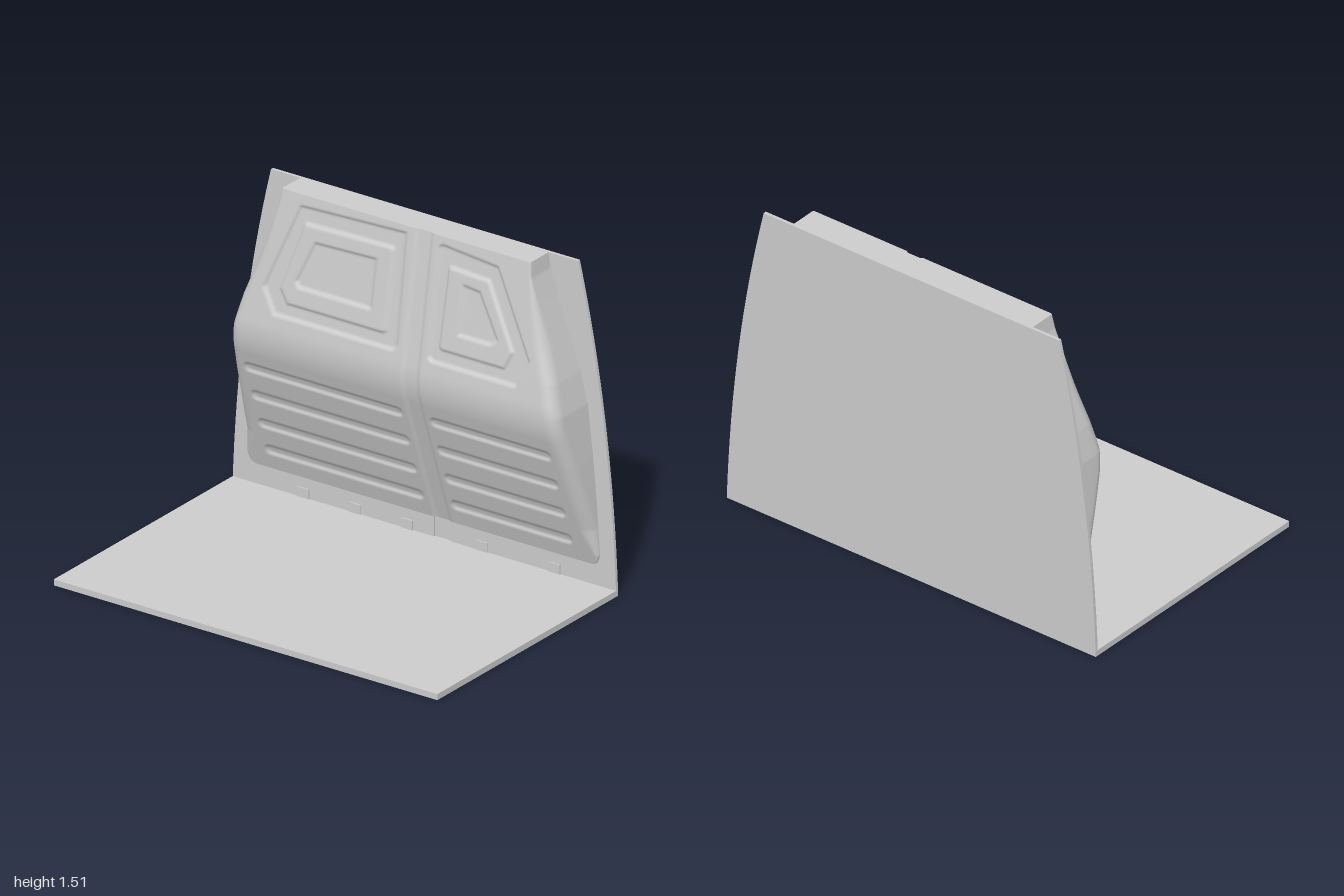
import * as THREE from 'three';

const BACK = -0.655, FACE = -0.64, FLOOR = 0.028, FOOT = 0.12, TOP = 1.51;
const CHANNEL = [0.05, 0.14], CHANNEL_DEPTH = 0.008, PRESS = 0.01;
const material = new THREE.MeshStandardMaterial({ color: 0xcccccc });
const { lerp, smoothstep, clamp } = THREE.MathUtils;

function mesh(name, geometry, x = 0, y = 0, z = 0) {
  const m = new THREE.Mesh(geometry, material);
  m.name = name;
  m.position.set(x, y, z);
  return m;
}

// Half width of the bulge by height
const sideProfile = [[0.12, 0.88], [0.135, 0.905], [0.17, 0.917], [0.4, 0.9], [0.62, 0.88], [0.86, 0.852],
  [1.0, 0.815], [1.14, 0.765], [1.33, 0.695], [1.44, 0.658], [1.51, 0.648]];
function halfWidth(y) {
  let i = 1;
  while (i < sideProfile.length - 1 && y > sideProfile[i][0]) i++;
  const [y0, w0] = sideProfile[i - 1], [y1, w1] = sideProfile[i];
  return lerp(w0, w1, clamp((y - y0) / (y1 - y0), 0, 1));
}

// Front of the bulge by height: two slopes blended by a rounded crest
function frontZ(y) {
  const low = FACE + 0.346 * (y - FOOT), high = -0.508 + 0.166 * (TOP - y), k = 0.045;
  const h = Math.max(k - Math.abs(low - high), 0) / k;
  return Math.min(low, high) - h * h * k * 0.25;
}

// Nested pressed panels, corners clockwise; each step reverses direction
const panels = [
  [-1, [[-0.55, 1.465], [0.01, 1.485], [0.02, 0.98], [0.0, 0.955], [-0.63, 0.955], [-0.7, 1.07]]],
  [1, [[-0.52, 1.395], [-0.06, 1.405], [-0.045, 1.39], [-0.045, 1.03], [-0.06, 1.015], [-0.57, 1.015], [-0.615, 1.08]]],
  [-1, [[-0.46, 1.325], [-0.13, 1.335], [-0.13, 1.1], [-0.52, 1.1], [-0.54, 1.13]]],
  [-1, [[0.17, 1.465], [0.19, 1.48], [0.49, 1.455], [0.7, 1.08], [0.64, 0.955], [0.19, 0.955], [0.17, 0.975]]],
  [1, [[0.23, 1.395], [0.45, 1.385], [0.61, 1.1], [0.57, 1.015], [0.235, 1.015], [0.22, 1.03]]],
  [-1, [[0.31, 1.335], [0.41, 1.325], [0.53, 1.13], [0.49, 1.1], [0.31, 1.1]]],
];
function polygonDistance(corners, x, y) {
  let d = -Infinity;
  corners.forEach(([ax, ay], i) => {
    const [bx, by] = corners[(i + 1) % corners.length];
    const ex = bx - ax, ey = by - ay;
    d = Math.max(d, ((y - ay) * ex - (x - ax) * ey) / Math.hypot(ex, ey));
  });
  return d;
}

// Long rounded grooves on the lower slope
const grooves = [];
for (const y of [0.663, 0.513, 0.363, 0.223]) {
  grooves.push([-0.78, -0.005, y], [0.19, 0.77, y]);
}

// Pressed relief at a point of the bulge
function relief(x, y) {
  const inside = (d) => 1 - smoothstep(d, -0.016, 0);
  let z = 0;
  if (y > 0.9) {
    for (const [sign, corners] of panels) z += sign * PRESS * inside(polygonDistance(corners, x, y));
  } else {
    for (const [x0, x1, gy] of grooves) {
      z -= PRESS * inside(Math.hypot(x - clamp(x, x0, x1), y - gy) - 0.028);
    }
  }
  const edge = Math.min(x - CHANNEL[0], CHANNEL[1] - x);
  return z - CHANNEL_DEPTH * clamp(edge / 0.01, 0, 1);
}

// One horizontal section, from the left wall round to the right wall
function section(y) {
  const w = halfWidth(y), zf = Math.max(frontZ(y), FACE);
  const r = Math.min(lerp(0.06, 0.008, smoothstep(y, 1.1, 1.5)), zf - FACE);
  const flat = w - r, corner = [];
  for (let i = 0; i < 5; i++) corner.push([w, lerp(FACE, zf - r, i / 5)]);
  for (let i = 0; i < 8; i++) {
    const a = (i / 8) * Math.PI / 2;
    corner.push([flat + r * Math.cos(a), zf - r + r * Math.sin(a)]);
  }
  const points = corner.map(([x, z]) => [-x, y, z]);
  for (let i = -100; i <= 100; i++) {
    // Columns near the channel stay upright, the rest follow the sides
    const u = Math.abs(i) / 100;
    const x = Math.sign(i) * (u <= 0.15 ? u : lerp(0.15, flat, (u - 0.15) / 0.85));
    points.push([x, y, zf + relief(x, y)]);
  }
  corner.reverse().forEach(([x, z]) => points.push([x, y, z]));
  return points;
}

// Skin over equal-length rows of points
function skin(rows) {
  const n = rows[0].length, index = [];
  for (let j = 0; j < rows.length - 1; j++) {
    for (let i = 0; i < n - 1; i++) {
      const a = j * n + i, b = a + n;
      index.push(a, a + 1, b + 1, a, b + 1, b);
    }
  }
  const g = new THREE.BufferGeometry();
  g.setAttribute('position', new THREE.Float32BufferAttribute(rows.flat(2), 3));
  g.setIndex(index);
  g.computeVertexNormals();
  return g;
}

// Tall sheet with curved sides
function sheet(depth, slot) {
  const s = new THREE.Shape();
  s.moveTo(-1, 0);
  s.lineTo(1, 0);
  s.quadraticCurveTo(0.972, 0.8, 0.8, TOP);
  s.lineTo(-0.8, TOP);
  s.quadraticCurveTo(-0.972, 0.8, -1, 0);
  if (slot) {
    const [a, b] = CHANNEL, hole = new THREE.Path();
    hole.moveTo(a, FLOOR);
    hole.lineTo(a, 0.15);
    hole.lineTo(b, 0.15);
    hole.lineTo(b, FLOOR);
    hole.closePath();
    s.holes.push(hole);
  }
  return new THREE.ExtrudeGeometry(s, { depth, bevelEnabled: false, curveSegments: 16 });
}

export function createModel() {
  const group = new THREE.Group();
  group.name = 'bulkheadWithFloor';

  // Floor plate
  group.add(mesh('floor', new THREE.BoxGeometry(2, FLOOR, 1.31), 0, FLOOR / 2, 0));

  // Back wall: plain sheet behind, slotted sheet in front for the channel foot
  group.add(mesh('wallBack', sheet(0.007, false), 0, 0, BACK));
  group.add(mesh('wallFront', sheet(0.008, true), 0, 0, FACE - 0.008));

  // Pressed bulge and its flat top
  const rows = [];
  for (let j = 0; j <= 210; j++) rows.push(section(lerp(FOOT, TOP, j / 210)));
  group.add(mesh('bulge', skin(rows)));
  const rim = rows[rows.length - 1];
  group.add(mesh('bulgeTop', skin([rim, rim.map(([x, y]) => [x, y, FACE])])));

  // Small tabs along the foot of the wall
  for (const x of [-0.63, -0.36, -0.09, 0.3, 0.68]) {
    group.add(mesh('footTab', new THREE.BoxGeometry(0.06, 0.045, 0.008), x, FLOOR + 0.0225, FACE + 0.002));
  }
  return group;
}
